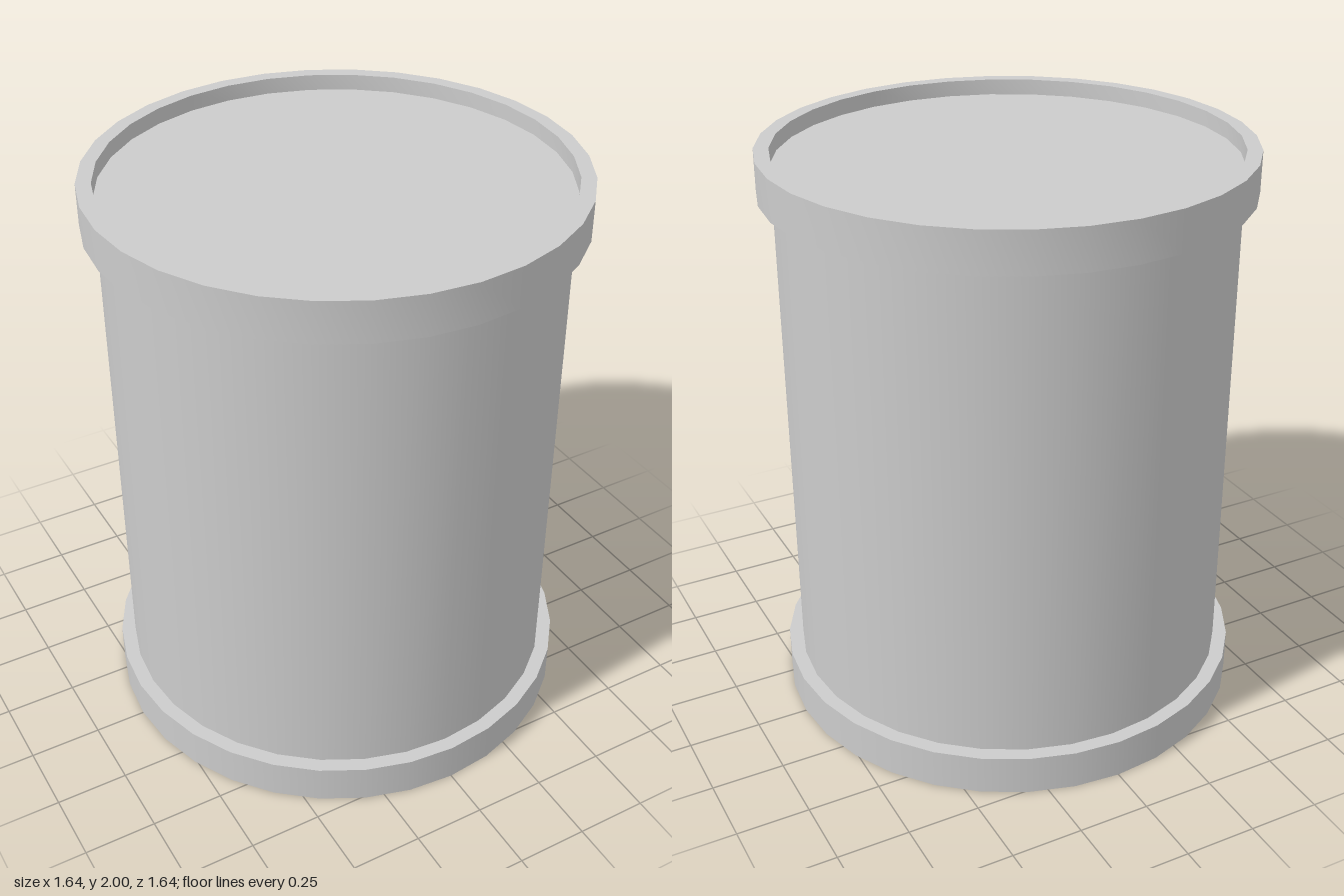
import * as THREE from 'three';
import { toCreasedNormals } from 'three/addons/utils/BufferGeometryUtils.js';

const SIDES = 32;
const BODY_R = 0.77, RIM_R = 0.82;
const HEIGHT = 2, RIM_H = 0.14, RECESS = 0.055;

export function createModel() {
  const group = new THREE.Group();
  group.name = 'canister';
  const material = new THREE.MeshStandardMaterial({ color: 0xcccccc });

  const add = (name, geometry, y = 0) => {
    const mesh = new THREE.Mesh(geometry, material);
    mesh.name = name;
    mesh.position.y = y;
    group.add(mesh);
  };

  // Solid base with a flat underside
  add('base', new THREE.CylinderGeometry(RIM_R, RIM_R, RIM_H, SIDES), RIM_H / 2);

  // Body, whose top cap is the recessed lid
  const bodyH = HEIGHT - RECESS - RIM_H;
  add('body', new THREE.CylinderGeometry(BODY_R, BODY_R, bodyH, SIDES), RIM_H + bodyH / 2);

  // Raised rim around the lid
  const profile = [
    [BODY_R, HEIGHT - RIM_H],
    [RIM_R, HEIGHT - RIM_H],
    [RIM_R, HEIGHT],
    [BODY_R, HEIGHT],
    [BODY_R, HEIGHT - RECESS],
  ].map(([r, y]) => new THREE.Vector2(r, y));
  add('topRim', toCreasedNormals(new THREE.LatheGeometry(profile, SIDES), 0.6));

  return group;
}
